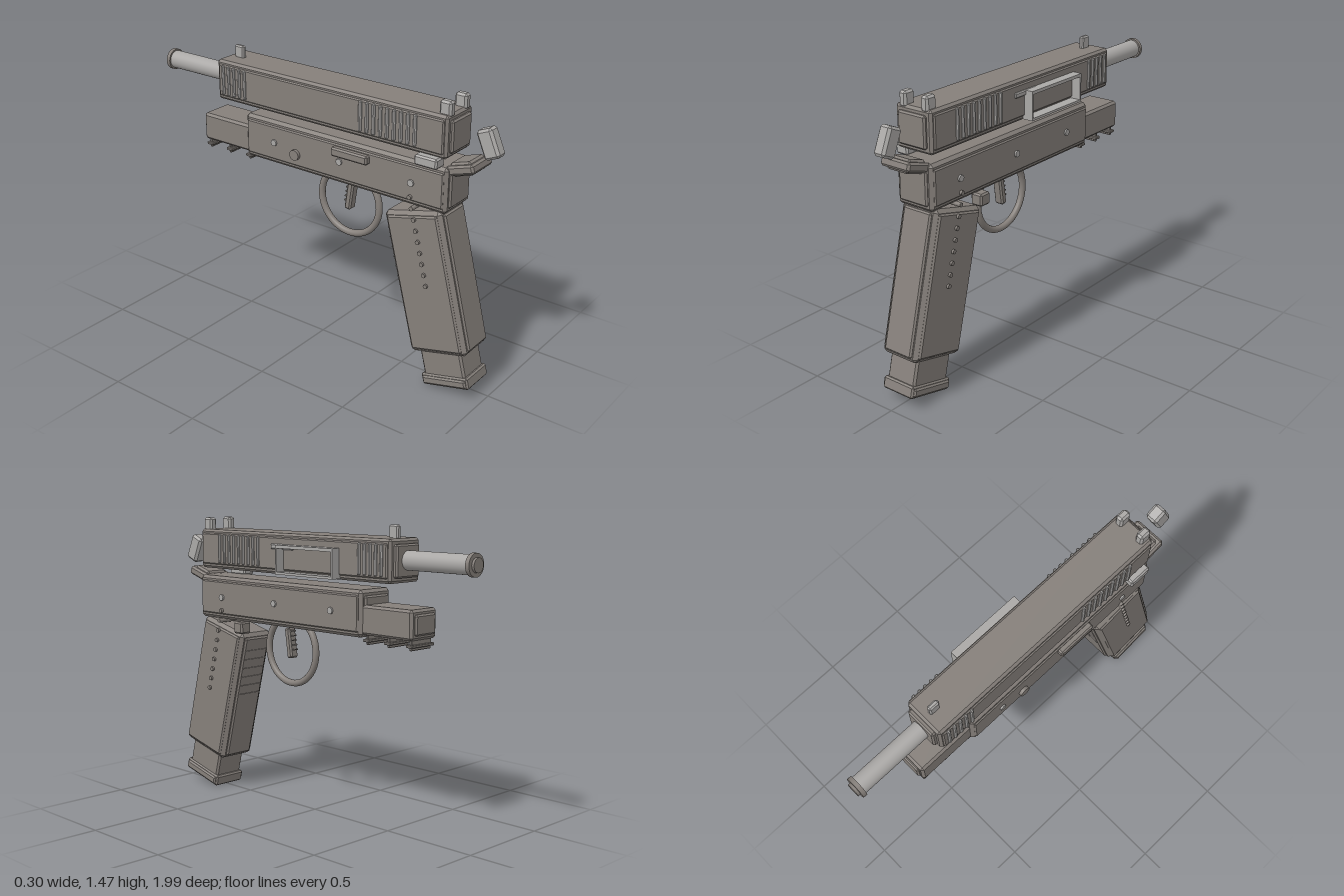
import * as THREE from 'three';
import { ConvexGeometry } from 'three/addons/geometries/ConvexGeometry.js';

const CX = -0.01; // mid-plane of the body

export function createModel() {
  const root = new THREE.Group();
  root.name = 'prop';
  const body = new THREE.MeshStandardMaterial({ color: 0x857f7a });
  body.name = 'warm grey';
  const light = new THREE.MeshStandardMaterial({ color: 0xaaa8a6 });
  light.name = 'pale grey';

  const add = (name, geo, mat, x, y, z, parent = root) => {
    const m = new THREE.Mesh(geo, mat);
    m.name = name;
    m.position.set(x, y, z);
    parent.add(m);
    return m;
  };

  // Box with every edge and corner chamfered by c
  const chamferBox = (w, h, d, c) => {
    const pts = [];
    for (const sx of [-1, 1]) for (const sy of [-1, 1]) for (const sz of [-1, 1]) {
      const x = w / 2, y = h / 2, z = d / 2;
      pts.push(
        new THREE.Vector3(sx * x, sy * (y - c), sz * (z - c)),
        new THREE.Vector3(sx * (x - c), sy * y, sz * (z - c)),
        new THREE.Vector3(sx * (x - c), sy * (y - c), sz * z));
    }
    return new ConvexGeometry(pts);
  };
  const block = (name, mat, [x0, x1], [y0, y1], [z0, z1], c = 0.008) =>
    add(name, chamferBox(x1 - x0, y1 - y0, z1 - z0, c), mat,
      (x0 + x1) / 2, (y0 + y1) / 2, (z0 + z1) / 2);

  // Slide with raised end plates
  block('slide', body, [-0.115, 0.095], [1.21, 1.415], [-0.58, 0.77], 0.012);
  block('slideEndPlates', body, [-0.09, 0.07], [1.235, 1.39], [-0.6, 0.785], 0.008);
  block('slideSidePlates', body, [-0.122, 0.102], [1.232, 1.395], [-0.565, 0.755], 0.006);

  // Slide serrations on both sides
  const serration = (z) => {
    for (const s of [-1, 1])
      add('serration', chamferBox(0.02, 0.15, 0.018, 0.005), light, CX + s * 0.111, 1.317, z);
  };
  for (let i = 0; i < 9; i++) serration(0.608 - i * 0.0375);
  for (let i = 0; i < 5; i++) serration(-0.395 - i * 0.0345);

  // Sights
  for (const x of [-0.072, 0.056])
    block('rearSight', light, [x - 0.021, x + 0.021], [1.4, 1.475], [0.708, 0.77], 0.01);
  block('frontSight', light, [-0.024, 0.002], [1.4, 1.475], [-0.542, -0.485], 0.007);

  // Barrel and muzzle
  const rod = (name, mat, r, z0, z1, y = 1.315) => {
    const m = add(name, new THREE.CylinderGeometry(r, r, z1 - z0, 32), mat, CX, y, (z0 + z1) / 2);
    m.rotation.x = Math.PI / 2;
  };
  rod('barrel', light, 0.046, -0.97, -0.55);
  rod('muzzleFlange', body, 0.054, -0.987, -0.966);
  rod('muzzleTip', body, 0.034, -1.0, -0.98);

  // Open frame around the side port, and the bar behind it
  const port = new THREE.Shape();
  port.moveTo(-0.13, 1.215).lineTo(0.265, 1.215).lineTo(0.265, 1.36).lineTo(-0.13, 1.36).closePath();
  const hole = new THREE.Path();
  hole.moveTo(-0.12, 1.227).lineTo(-0.12, 1.344).lineTo(0.255, 1.344).lineTo(0.255, 1.227).closePath();
  port.holes.push(hole);
  const portGeo = new THREE.ExtrudeGeometry(port, { depth: 0.06, bevelEnabled: false });
  add('portFrame', portGeo, light, 0.09, 0, 0).rotation.y = Math.PI / 2;
  block('extractor', light, [0.08, 0.112], [1.335, 1.361], [0.045, 0.205], 0.005);

  // Frame
  block('frame', body, [-0.115, 0.095], [0.945, 1.17], [-0.4, 0.78], 0.015);
  block('frameSidePlates', body, [-0.122, 0.102], [0.97, 1.145], [-0.385, 0.765], 0.006);
  block('frameEndPlates', body, [-0.093, 0.073], [0.97, 1.142], [-0.412, 0.79], 0.008);

  // Accessory rail with cross ribs
  block('rail', body, [-0.1, 0.08], [0.958, 1.1], [-0.7, -0.37], 0.012);
  block('railNose', body, [-0.08, 0.06], [0.98, 1.078], [-0.712, -0.38], 0.008);
  for (const z of [-0.41, -0.543, -0.677]) {
    block('ribStem', body, [-0.08, 0.06], [0.91, 0.965], [z - 0.007, z + 0.007], 0.003);
    block('rib', body, [-0.09, 0.07], [0.924, 0.938], [z - 0.019, z + 0.019], 0.003);
  }

  // Frame pins running through both sides
  const crossPin = (name, mat, r, x0, x1, y, z, sides, parent = root) => {
    const m = add(name, new THREE.CylinderGeometry(r, r, x1 - x0, sides), mat, (x0 + x1) / 2, y, z, parent);
    m.rotation.z = Math.PI / 2;
  };
  for (const z of [0.596, 0.19, -0.21]) crossPin('framePin', light, 0.017, -0.13, 0.111, 1.06, z, 8);

  // Controls
  block('slideStop', body, [-0.15, -0.1], [1.09, 1.135], [0.155, 0.365], 0.008);
  block('safetyLever', light, [-0.148, -0.08], [1.165, 1.215], [0.622, 0.742], 0.008);
  crossPin('takedownPin', body, 0.027, -0.138, -0.1, 1.03, -0.075, 16);
  block('releaseButton', body, [0.06, 0.125], [0.883, 0.945], [0.415, 0.48], 0.008);

  // Tilted tail and hammer
  add('tail', chamferBox(0.17, 0.045, 0.15, 0.01), body, CX, 1.168, 0.825).rotation.x = -0.3;
  add('tailPad', chamferBox(0.13, 0.065, 0.11, 0.01), body, CX, 1.168, 0.825).rotation.x = -0.3;
  add('hammer', chamferBox(0.066, 0.14, 0.082, 0.012), light, CX, 1.3, 0.93).rotation.x = -0.41;

  // Trigger guard and trigger
  add('triggerGuard', new THREE.TorusGeometry(0.173, 0.017, 16, 64), body, CX, 0.815, 0.176)
    .rotation.y = Math.PI / 2;
  const trigger = new THREE.Group();
  trigger.name = 'trigger';
  trigger.position.set(CX, 0.85, 0.183);
  trigger.rotation.x = 0.14;
  root.add(trigger);
  add('triggerBlade', chamferBox(0.05, 0.155, 0.036, 0.008), body, 0, 0, 0, trigger);
  for (let i = 0; i < 5; i++)
    add('triggerRidge', new THREE.BoxGeometry(0.035, 0.006, 0.012), body, 0, 0.06 - i * 0.024, -0.021, trigger);

  // Tilted grip with raised panels
  const grip = new THREE.Group();
  grip.name = 'grip';
  grip.position.set(CX, 0.562, 0.687);
  grip.rotation.x = -0.25;
  root.add(grip);
  add('gripCore', chamferBox(0.212, 0.725, 0.318, 0.018), body, 0, 0, 0, grip);
  add('gripSidePanels', chamferBox(0.23, 0.685, 0.282, 0.008), body, 0, 0, 0, grip);
  add('gripStraps', chamferBox(0.165, 0.685, 0.338, 0.008), body, 0, 0, 0, grip);
  for (let i = 0; i < 6; i++)
    add('strapRidge', new THREE.BoxGeometry(0.15, 0.006, 0.008), body, 0, 0.27 - i * 0.05, -0.169, grip);

  // Rows of studs on both sides
  for (let i = 0; i < 9; i++)
    crossPin('gripStud', body, 0.011, -0.135, 0.116, 0.99 - i * 0.0535, 0.595 + i * 0.0133, 10);

  // Magazine with base plate
  add('magazine', chamferBox(0.17, 0.3, 0.232, 0.01), body, 0, -0.37, 0, grip);
  add('magazineBase', chamferBox(0.185, 0.06, 0.262, 0.008), body, 0, -0.513, 0, grip);
  add('magazineBaseRim', chamferBox(0.205, 0.042, 0.245, 0.008), body, 0, -0.513, 0, grip);

  return root;
}
